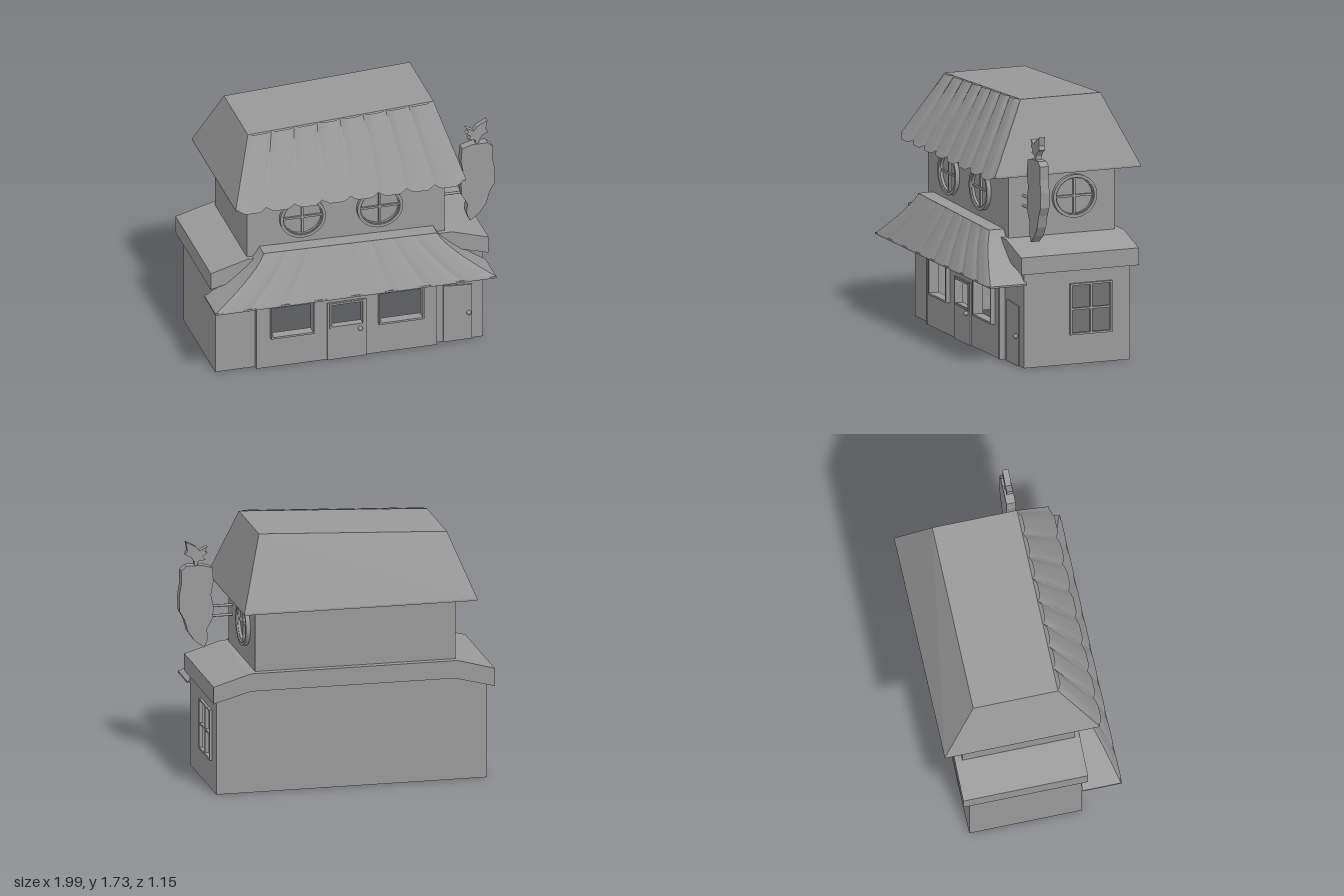
import * as THREE from 'three';
import { mergeGeometries } from 'three/addons/utils/BufferGeometryUtils.js';
import { ConvexGeometry } from 'three/addons/geometries/ConvexGeometry.js';

const grey = new THREE.MeshStandardMaterial({ color: 0x999999, side: THREE.DoubleSide });
grey.name = 'plain grey';
const lerp = THREE.MathUtils.lerp;

function add(parent, name, geo) {
  const m = new THREE.Mesh(geo, grey);
  m.name = name;
  parent.add(m);
  return m;
}

// Box given by its limits on each axis
function box(parent, name, x0, x1, y0, y1, z0, z1) {
  const g = new THREE.BoxGeometry(x1 - x0, y1 - y0, z1 - z0);
  g.translate((x0 + x1) / 2, (y0 + y1) / 2, (z0 + z1) / 2);
  return add(parent, name, g);
}

const outline = pts => new THREE.Shape(pts.map(p => new THREE.Vector2(...p)));
const rect = (x0, x1, y0, y1) => outline([[x0, y0], [x1, y0], [x1, y1], [x0, y1]]);

// Flat shape with holes, pushed from z0 to z1
function slab(parent, name, shape, z0, z1, holes = []) {
  shape.holes.push(...holes);
  const g = new THREE.ExtrudeGeometry(shape, { depth: z1 - z0, bevelEnabled: false, curveSegments: 20 });
  g.translate(0, 0, z0);
  return add(parent, name, g);
}

const hull = (parent, name, pts) =>
  add(parent, name, new ConvexGeometry(pts.map(p => new THREE.Vector3(...p))));

// Smooth grid from a rule f(u, v) -> [x, y, z]
function grid(f, nu, nv) {
  const pos = [], idx = [], w = nv + 1;
  for (let i = 0; i <= nu; i++) for (let j = 0; j <= nv; j++) pos.push(...f(i / nu, j / nv));
  for (let i = 0; i < nu; i++) for (let j = 0; j < nv; j++) {
    const a = i * w + j;
    idx.push(a, a + 1, a + w, a + w, a + 1, a + w + 1);
  }
  const g = new THREE.BufferGeometry();
  g.setAttribute('position', new THREE.Float32BufferAttribute(pos, 3));
  g.setIndex(idx);
  g.computeVertexNormals();
  return g;
}

// Eight bulging strips between a top and a bottom edge
function strips(parent, name, o) {
  const parts = [];
  for (let s = 0; s < 8; s++) {
    parts.push(grid((t, v) => {
      const u = (s + t) / 8, b = o.bulge * Math.min(1, 1.5 * Math.sin(Math.PI * t));
      const k = Math.pow(v, o.flare);
      return [
        lerp(lerp(o.top[0], o.top[1], u), lerp(o.bottom[0], o.bottom[1], u), k),
        lerp(lerp(o.topY[0], o.topY[1], u), o.bottomY, v) - b * o.drop * v,
        lerp(o.z[0], o.z[1], v) + b];
    }, 8, 8));
  }
  add(parent, name, mergeGeometries(parts));
}

// Rectangular frame around an opening, with optional cross bars
function squareWindow(parent, name, x0, x1, y0, y1, z0, z1, bars) {
  const g = new THREE.Group(), w = 0.013;
  g.name = name;
  slab(g, 'frame', rect(x0, x1, y0, y1), z0, z1, [rect(x0 + w, x1 - w, y0 + w, y1 - w)]);
  if (bars) {
    const x = (x0 + x1) / 2, y = (y0 + y1) / 2;
    box(g, 'uprightBar', x - 0.007, x + 0.007, y0 + w, y1 - w, z0, z1 - 0.006);
    box(g, 'crossBar', x0 + w, x1 - w, y - 0.007, y + 0.007, z0, z1 - 0.006);
  }
  parent.add(g);
  return g;
}

// Oval window with a cross, standing out from a wall at z = 0
function ovalWindow(parent, name) {
  const g = new THREE.Group();
  g.name = name;
  const oval = (a, b) => new THREE.Shape().absellipse(0, 0, a, b, 0, Math.PI * 2);
  slab(g, 'frame', oval(0.155, 0.144), -0.01, 0.028, [oval(0.135, 0.124)]);
  slab(g, 'innerFrame', oval(0.15, 0.139), -0.01, 0.018, [oval(0.128, 0.118)]);
  box(g, 'uprightBar', -0.007, 0.007, -0.12, 0.12, -0.01, 0.014);
  box(g, 'crossBar', -0.13, 0.13, -0.007, 0.007, -0.01, 0.014);
  parent.add(g);
  return g;
}

function knob(parent, x, y, z) {
  add(parent, 'doorKnob', new THREE.SphereGeometry(0.016, 14, 10)).position.set(x, y, z);
}

export function createModel() {
  const root = new THREE.Group();
  root.name = 'shopHouse';

  // Ground floor: hollow, open below
  const openings = () => [rect(-0.555, -0.28, 0.23, 0.505), rect(0.18, 0.465, 0.23, 0.505), rect(-0.155, 0.062, 0.24, 0.405)];
  const gable = () => outline([[-0.93, 0], [0.89, 0], [0.89, 0.66], [0.65, 0.72], [-0.7, 0.72], [-0.93, 0.66]]);
  slab(root, 'frontWall', gable(), 0.31, 0.32, openings());
  slab(root, 'backWall', gable(), -0.433, -0.423);
  slab(root, 'shopFront', rect(-0.65, 0.565, 0, 0.7), 0.32, 0.352, openings());
  for (const x of [-0.66, 0.555]) box(root, 'cornerPost', x, x + 0.014, 0, 0.6, 0.32, 0.358);
  box(root, 'leftWall', -0.93, -0.92, 0, 0.66, -0.43, 0.32);
  const sideWall = slab(root, 'rightWall', rect(-0.32, 0.43, 0, 0.66), 0.88, 0.89, [rect(0.015, 0.29, 0.21, 0.527)]);
  sideWall.rotation.y = Math.PI / 2;

  // Ground floor windows and doors
  squareWindow(root, 'leftShopWindow', -0.567, -0.268, 0.218, 0.517, 0.35, 0.382);
  squareWindow(root, 'rightShopWindow', 0.168, 0.477, 0.218, 0.517, 0.35, 0.382);
  squareWindow(root, 'sideWindow', 0.003, 0.302, 0.197, 0.54, 0.88, 0.907, true).rotation.y = Math.PI / 2;
  slab(root, 'mainDoor', rect(-0.18, 0.085, 0, 0.417), 0.35, 0.363, [rect(-0.155, 0.062, 0.24, 0.405)]);
  squareWindow(root, 'doorWindow', -0.165, 0.072, 0.23, 0.415, 0.36, 0.37);
  knob(root, 0.042, 0.208, 0.373);
  slab(root, 'sideDoor', outline([[0.62, 0], [0.815, 0], [0.815, 0.4], [0.62, 0.412]]), 0.315, 0.33);
  knob(root, 0.79, 0.197, 0.338);

  // Bent flat roof over the ground floor
  slab(root, 'lowerRoof', outline([[-0.97, 0.63], [-0.7, 0.7], [0.67, 0.7], [0.92, 0.63],
    [0.92, 0.745], [0.67, 0.82], [-0.72, 0.82], [-0.97, 0.75]]), -0.482, 0.353);

  // Flared awning over the shop front
  strips(root, 'awningStrips', { top: [-0.63, 0.55], bottom: [-1, 0.91], topY: [0.885, 0.865],
    bottomY: 0.565, z: [0.42, 0.567], bulge: 0.008, drop: 0, flare: 1.3 });
  for (const [top, bottom, y] of [[-0.63, -1, 0.885], [0.55, 0.91, 0.865]]) {
    add(root, 'awningSide', grid((u, v) => {
      const w = top > 0 ? u : 1 - u;
      return [lerp(top, bottom, Math.pow(v, 1.3)), lerp(y, 0.565, v), lerp(lerp(0.42, 0.567, v), 0.31, w)];
    }, 1, 8));
  }
  const awningTop = [];
  for (const z of [0.31, 0.425]) for (const d of [0, 0.012]) awningTop.push([-0.63, 0.887 - d, z], [0.55, 0.867 - d, z]);
  hull(root, 'awningTop', awningTop);
  box(root, 'awningBase', -1, 0.91, 0.555, 0.567, 0.31, 0.573);

  // Upper floor
  box(root, 'upperFloor', -0.715, 0.63, 0.8, 1.26, -0.433, 0.32);
  ovalWindow(root, 'leftOvalWindow').position.set(-0.34, 1.068, 0.32);
  ovalWindow(root, 'rightOvalWindow').position.set(0.185, 1.068, 0.32);
  const sideOval = ovalWindow(root, 'sideOvalWindow');
  sideOval.position.set(0.63, 1.068, -0.143);
  sideOval.rotation.y = Math.PI / 2;

  // Upper roof: lopsided hipped block with strips on the front
  const corners = [];
  for (const y of [1.245, 1.258]) for (const x of [-0.83, 0.735]) for (const z of [-0.575, 0.46]) corners.push([x, y, z]);
  for (const [x, y] of [[-0.678, 1.665], [0.585, 1.73]]) for (const z of [-0.352, 0.215]) corners.push([x, y, z]);
  hull(root, 'upperRoof', corners);
  strips(root, 'roofStrips', { top: [-0.675, 0.57], bottom: [-0.815, 0.71], topY: [1.666, 1.73],
    bottomY: 1.246, z: [0.217, 0.465], bulge: 0.02, drop: 1.1, flare: 1 });

  // Hanging carrot sign on two rods
  const sign = new THREE.Group();
  sign.name = 'carrotSign';
  slab(sign, 'carrot', outline([[0.77, 1.365], [0.84, 1.385], [0.945, 1.385], [0.98, 1.355], [0.978, 1.27], [0.993, 1.18],
    [0.99, 1.08], [0.957, 1.02], [0.935, 0.94], [0.89, 0.875], [0.825, 0.825], [0.8, 0.885], [0.808, 0.95],
    [0.768, 1.02], [0.762, 1.1], [0.78, 1.18], [0.763, 1.27]]), 0.184, 0.246);
  slab(sign, 'carrotLeaves', outline([[0.865, 1.375], [0.865, 1.41], [0.815, 1.418], [0.832, 1.443], [0.8, 1.465],
    [0.818, 1.475], [0.8, 1.507], [0.853, 1.48], [0.875, 1.508], [0.895, 1.52], [0.945, 1.545], [0.935, 1.485],
    [0.95, 1.46], [0.912, 1.44], [0.89, 1.41], [0.888, 1.375]]), 0.195, 0.236);
  for (const y of [1.096, 1.03]) {
    const rod = add(sign, 'signRod', new THREE.CylinderGeometry(0.009, 0.009, 0.16, 10));
    rod.rotation.z = Math.PI / 2;
    rod.position.set(0.7, y, 0.215);
  }
  root.add(sign);
  return root;
}
